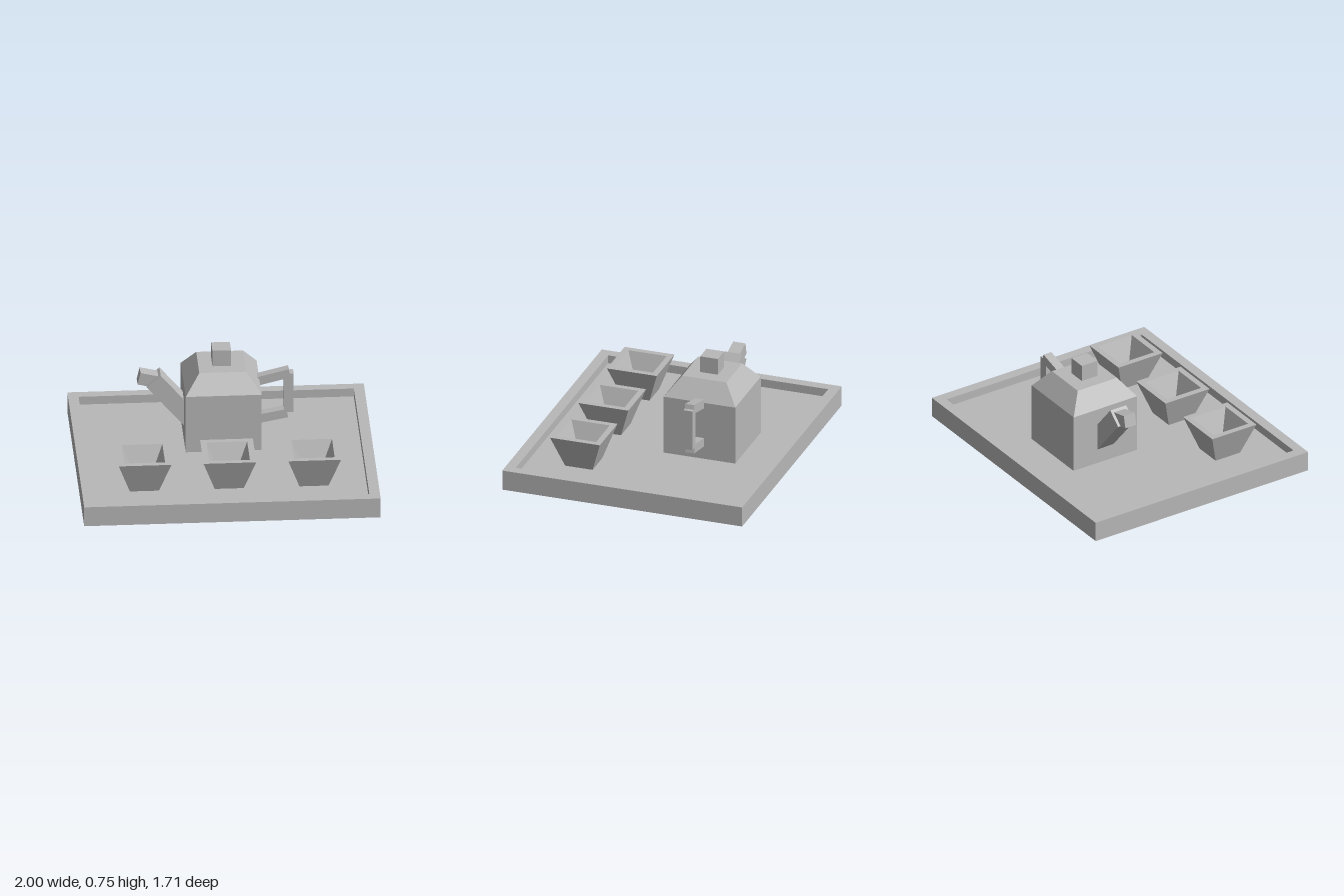
import * as THREE from 'three';

const clay = new THREE.MeshStandardMaterial({ color: 0xb8b8b8 });
clay.name = 'clay grey';

const FLOOR = 0.083; // top of the tray's sunken floor
const POT_Z = -0.287;

function add(parent, name, geometry, x = 0, y = 0, z = 0, tilt = 0) {
  const mesh = new THREE.Mesh(geometry, clay);
  mesh.name = name;
  mesh.position.set(x, y, z);
  mesh.rotation.z = tilt;
  parent.add(mesh);
  return mesh;
}

// Four-sided faceted solid from a profile of [half width, height] pairs
function squareLathe(profile) {
  const points = profile.map(([h, y]) => new THREE.Vector2(h * Math.SQRT2, y));
  const geometry = new THREE.LatheGeometry(points, 4, Math.PI / 4).toNonIndexed();
  geometry.computeVertexNormals();
  return geometry;
}

function rectangle(PathType, hx, hy) {
  const path = new PathType();
  path.moveTo(-hx, -hy);
  path.lineTo(hx, -hy);
  path.lineTo(hx, hy);
  path.lineTo(-hx, hy);
  path.closePath();
  return path;
}

function makeTray() {
  const tray = new THREE.Group();
  tray.name = 'tray';
  const outline = rectangle(THREE.Shape, 1, 0.857);
  outline.holes.push(rectangle(THREE.Path, 0.928, 0.786));
  const rim = new THREE.ExtrudeGeometry(outline, { depth: 0.142, bevelEnabled: false });
  rim.rotateX(-Math.PI / 2);
  add(tray, 'trayRim', rim);
  add(tray, 'trayFloor', new THREE.BoxGeometry(1.856, FLOOR, 1.572), 0, FLOOR / 2, 0);
  return tray;
}

function makeTeapot() {
  const pot = new THREE.Group();
  pot.name = 'teapot';
  pot.position.z = POT_Z;

  // Square body with sloping shoulders and a lid knob
  add(pot, 'body', squareLathe([[0, FLOOR], [0.256, FLOOR], [0.256, 0.5], [0.158, 0.628], [0, 0.628]]));
  add(pot, 'lidKnob', new THREE.BoxGeometry(0.126, 0.118, 0.126), 0, 0.686, 0);

  // Spout rising to the right with a smaller angled tip
  const lean = 0.704, length = 0.42;
  add(pot, 'spout', new THREE.BoxGeometry(0.126, length, 0.128),
    -0.46 + Math.sin(lean) * length / 2, 0.527 - Math.cos(lean) * length / 2, 0, lean);
  add(pot, 'spoutTip', new THREE.BoxGeometry(0.15, 0.088, 0.088), -0.484, 0.523, 0, -0.234);

  // Handle: two tilted arms joined by an upright grip
  add(pot, 'handleTop', new THREE.BoxGeometry(0.25, 0.063, 0.063), 0.339, 0.511, 0, 0.245);
  add(pot, 'handleGrip', new THREE.BoxGeometry(0.064, 0.29, 0.063), 0.455, 0.395, 0);
  add(pot, 'handleBottom', new THREE.BoxGeometry(0.25, 0.063, 0.063), 0.321, 0.218, 0, 0.188);
  return pot;
}

export function createModel() {
  const model = new THREE.Group();
  model.name = 'teaSet';
  model.add(makeTray(), makeTeapot());

  // Row of three hollow flared cups
  const cup = squareLathe([
    [0, FLOOR], [0.098, FLOOR], [0.178, 0.315], [0.137, 0.315], [0.056, 0.12], [0, 0.12],
  ]);
  [-0.572, 0, 0.572].forEach((x, i) => add(model, `cup${i + 1}`, cup, x, 0, 0.427));
  return model;
}
